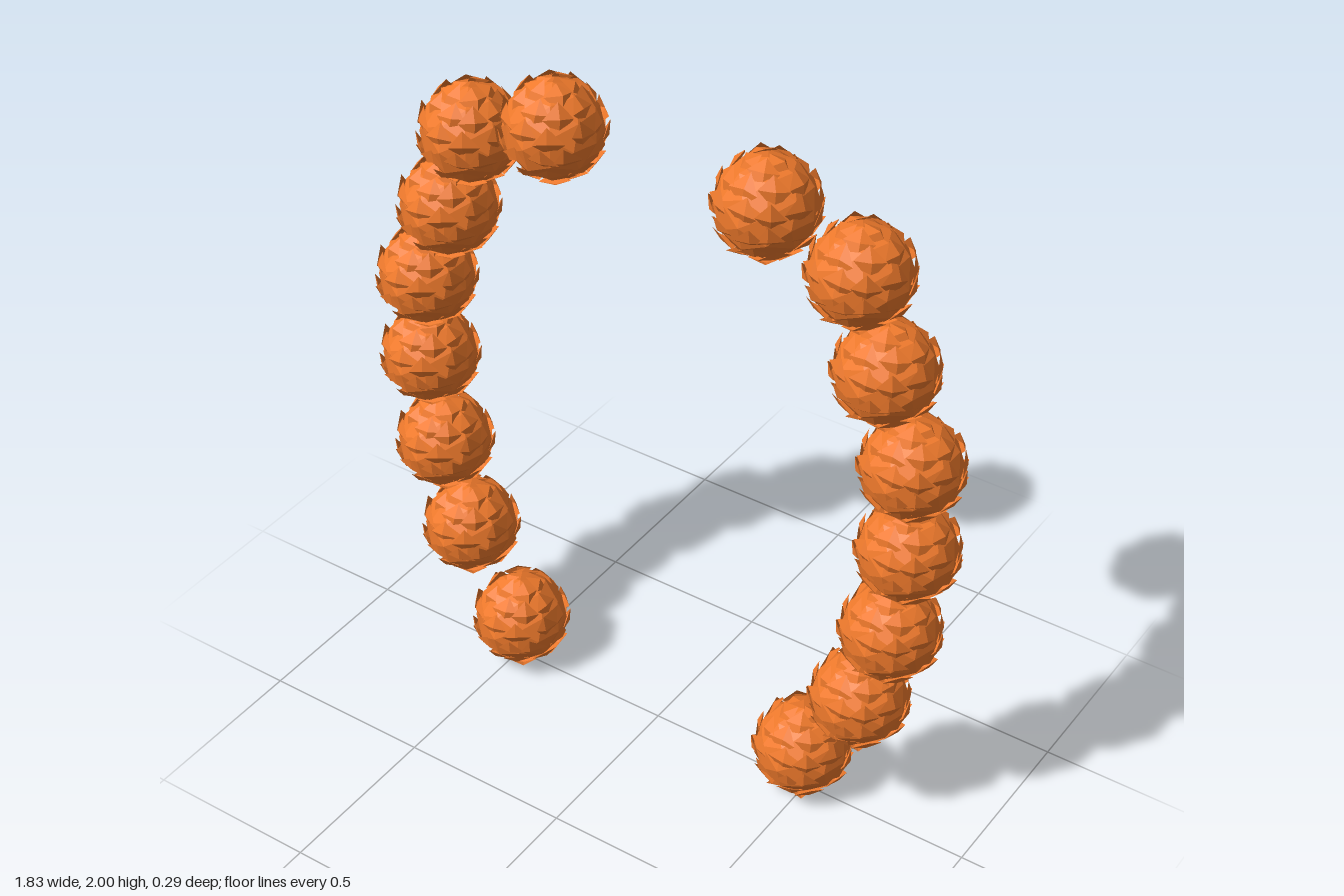
import * as THREE from 'three';
import { mergeGeometries } from 'three/addons/utils/BufferGeometryUtils.js';

const CORE = 0.133;

// small seeded random numbers in -1..1
function seeded(seed) {
  let s = seed;
  return () => {
    s = (s * 16807) % 2147483647;
    return (s / 2147483647) * 2 - 1;
  };
}

// point on the ball from polar angle (0 = bottom) and azimuth
function onBall(polar, azimuth, r) {
  return new THREE.Vector3(
    r * Math.sin(polar) * Math.cos(azimuth),
    -r * Math.cos(polar),
    r * Math.sin(polar) * Math.sin(azimuth));
}

// folded kite petal: root in the core, raised ridge, lifted tip
function petal(polar, azimuth, length, width, rand) {
  const w = width / Math.max(Math.sin(polar), 0.3);
  const skew = rand() * 0.12;
  const root = onBall(polar - length * 0.5, azimuth, 0.118);
  const a = onBall(polar + 0.08 * rand(), azimuth - w, 0.134 + 0.006 * rand());
  const b = onBall(polar + 0.08 * rand(), azimuth + w, 0.139 + 0.006 * rand());
  const ridge = onBall(polar, azimuth + skew, 0.142);
  const tip = onBall(polar + length * 0.5, azimuth + skew, 0.147 + 0.004 * rand());
  const corners = [root, ridge, a, root, b, ridge, a, ridge, tip, ridge, b, tip];
  const g = new THREE.BufferGeometry().setFromPoints(corners);
  g.computeVertexNormals();
  return g;
}

// one blossom: faceted core wrapped in rings of overlapping petals
function blossomGeometry() {
  const rand = seeded(71);
  const core = new THREE.IcosahedronGeometry(CORE, 1);
  core.deleteAttribute('uv');
  const parts = [core];
  const rings = [[0.5, 6], [0.95, 9], [1.4, 11], [1.85, 10], [2.3, 8], [2.75, 5]];
  rings.forEach(([polar, count], ring) => {
    for (let i = 0; i < count; i++) {
      const azimuth = ((i + 0.5 * (ring % 2)) / count) * Math.PI * 2 + rand() * 0.12;
      parts.push(petal(polar + rand() * 0.08, azimuth, 0.62, 0.3, rand));
    }
  });
  // pointed underside, leaning a little sideways
  const point = new THREE.ConeGeometry(0.095, 0.055, 7, 1, true).toNonIndexed();
  point.deleteAttribute('uv');
  point.rotateX(Math.PI).translate(0, -0.121, 0);
  const p = point.attributes.position;
  for (let i = 0; i < p.count; i++) {
    if (p.getY(i) < -0.14) p.setX(i, p.getX(i) + 0.022);
  }
  point.computeVertexNormals();
  parts.push(point);
  return mergeGeometries(parts);
}

export function createModel() {
  const model = new THREE.Group();
  model.name = 'flowerGarland';
  const orange = new THREE.MeshStandardMaterial({
    color: 0xf07a2c, flatShading: true, side: THREE.DoubleSide });
  const geometry = blossomGeometry();

  // blossom centres of one strand, top to bottom
  const centres = [
    [-0.32, 1.855], [-0.59, 1.755], [-0.675, 1.5], [-0.765, 1.245],
    [-0.77, 0.98], [-0.735, 0.695], [-0.655, 0.42], [-0.485, 0.15]];

  // the second strand is the first turned half round
  ['rightStrand', 'leftStrand'].forEach((name, side) => {
    const strand = new THREE.Group();
    strand.name = name;
    centres.forEach(([x, y], i) => {
      const blossom = new THREE.Mesh(geometry, orange);
      blossom.name = `blossom${i + 1}`;
      blossom.position.set(x, y, 0);
      strand.add(blossom);
    });
    strand.rotation.y = side * Math.PI;
    model.add(strand);
  });
  return model;
}
